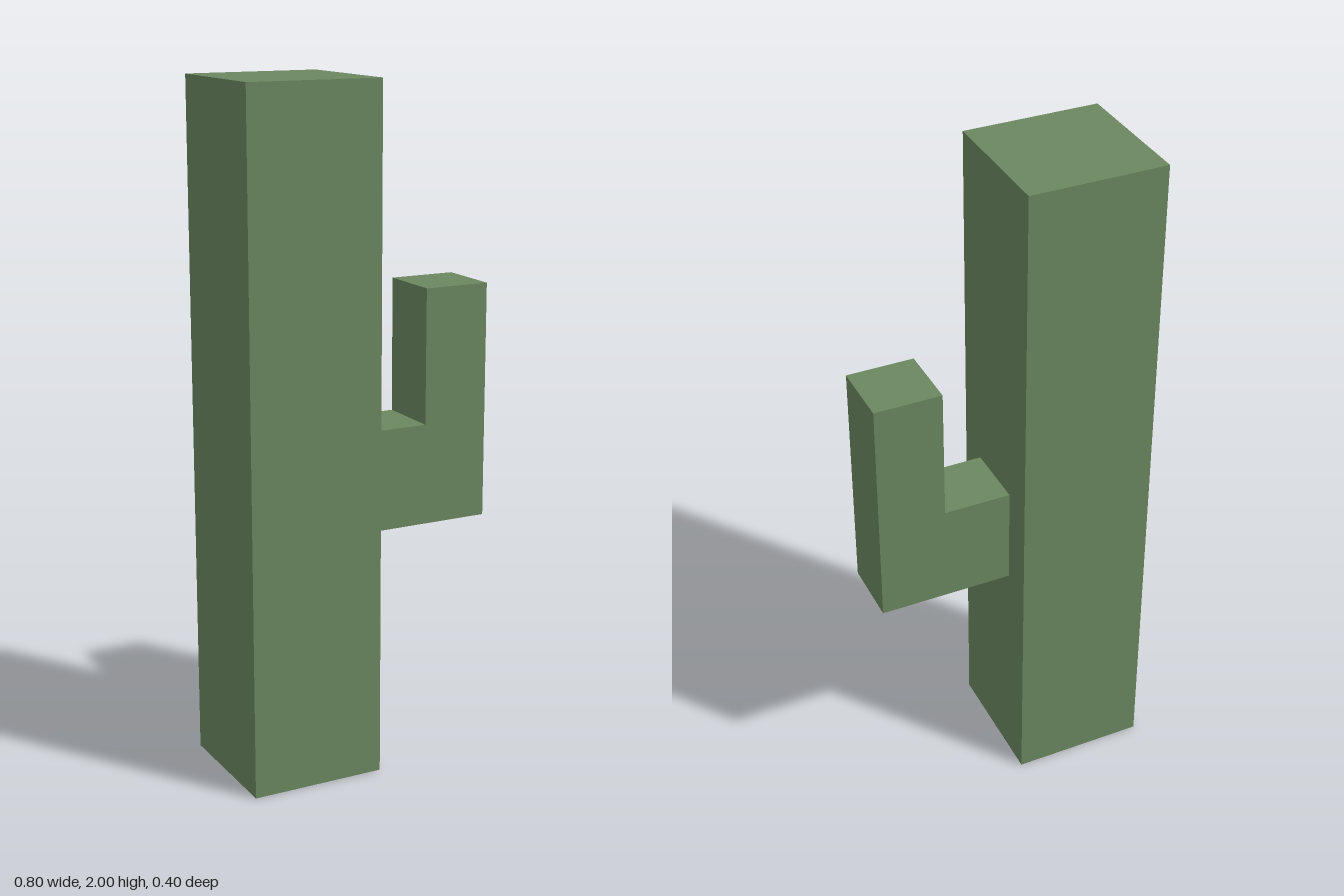
import * as THREE from 'three';

export function createModel() {
  const group = new THREE.Group();
  group.name = 'cactus';
  const green = new THREE.MeshStandardMaterial({ color: 0x6b8760, flatShading: true });

  // Square trunk
  const trunk = new THREE.Mesh(new THREE.BoxGeometry(0.4, 2, 0.4), green);
  trunk.name = 'trunk';
  trunk.position.set(-0.2, 1, 0);
  group.add(trunk);

  // L-shaped arm growing out of the trunk's side and turning upward
  const outline = [[0, 0.7], [0.4, 0.7], [0.4, 1.4], [0.2, 1.4], [0.2, 1], [0, 1]];
  const shape = new THREE.Shape(outline.map(([x, y]) => new THREE.Vector2(x, y)));
  const armGeometry = new THREE.ExtrudeGeometry(shape, { depth: 0.2, bevelEnabled: false });
  armGeometry.translate(0, 0, -0.1);
  const arm = new THREE.Mesh(armGeometry, green);
  arm.name = 'arm';
  group.add(arm);

  return group;
}
